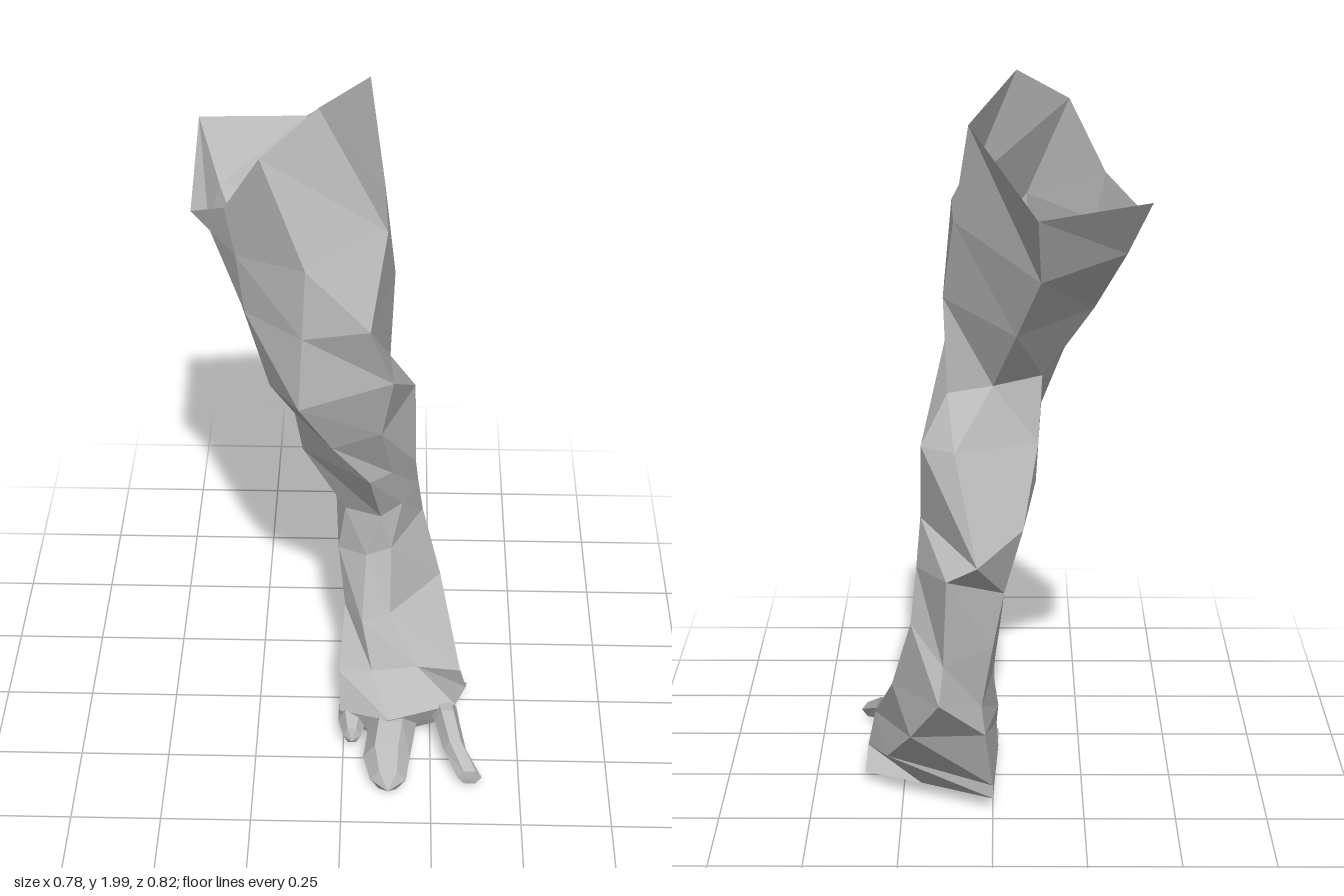
import * as THREE from 'three';

const hide = new THREE.MeshStandardMaterial({ color: 0xbababa, flatShading: true, side: THREE.DoubleSide });
hide.name = 'grey hide';

// Skin a list of equal-sized rings, with an optional cap on the last one
function loft(name, rings, capPoint) {
  const pos = [];
  const n = rings[0].length;
  for (let i = 0; i < rings.length - 1; i++) {
    for (let j = 0; j < n; j++) {
      const k = (j + 1) % n;
      const a = rings[i][j], b = rings[i][k], c = rings[i + 1][k], d = rings[i + 1][j];
      pos.push(...a, ...b, ...d, ...b, ...c, ...d);
    }
  }
  const last = rings[rings.length - 1];
  if (capPoint) last.forEach((p, j) => pos.push(...capPoint, ...p, ...last[(j + 1) % n]));
  const geo = new THREE.BufferGeometry();
  geo.setAttribute('position', new THREE.Float32BufferAttribute(pos, 3));
  geo.computeVertexNormals();
  const mesh = new THREE.Mesh(geo, hide);
  mesh.name = name;
  return mesh;
}

// Toe: six-sided sections given as [x, y, z, half width, half height]
function toe(name, sections, tip) {
  const rings = sections.map(([x, y, z, rx, ry]) =>
    Array.from({ length: 6 }, (_, j) => {
      const a = (j * Math.PI) / 3;
      return [x + rx * Math.cos(a), y + ry * Math.sin(a), z];
    }));
  return loft(name, rings, tip);
}

export function createModel() {
  const leg = new THREE.Group();
  leg.name = 'leg';

  // Ring order: front left, front, right, back right, back, back left
  const kneeRing = [[0.13, 1.26, 0.17], [-0.11, 1.25, 0.28], [-0.19, 1.23, 0.14],
    [-0.13, 1.22, -0.05], [0, 1.2, -0.08], [0.12, 1.18, -0.08]];
  const hockRing = [[0.16, 0.69, -0.07], [0.1, 0.68, -0.02], [0, 0.67, -0.07],
    [-0.03, 0.66, -0.2], [0.12, 0.75, -0.34], [0.205, 0.71, -0.14]];
  const ankleRing = [[0.13, 0.37, 0.03], [0.05, 0.35, 0.05], [0, 0.35, -0.03],
    [0.03, 0.35, -0.25], [0.14, 0.43, -0.41], [0.275, 0.37, -0.15]];

  // Thigh, open at the top with a pointed lip; one extra point on the right side
  leg.add(loft('thigh', [
    [[-0.06, 2, 0.09], [-0.2, 1.91, 0.18], [-0.295, 1.73, 0.1], [-0.39, 1.65, -0.02],
      [-0.39, 1.75, -0.34], [-0.11, 1.72, -0.41], [0.06, 1.92, -0.24]],
    [[0.11, 1.66, 0.09], [-0.09, 1.64, 0.25], [-0.27, 1.6, 0.11], [-0.345, 1.6, -0.02],
      [-0.335, 1.6, -0.25], [-0.12, 1.54, -0.31], [0.1, 1.66, -0.16]],
    [[0.07, 1.46, 0.24], [-0.1, 1.45, 0.26], [-0.25, 1.44, 0.12], [-0.28, 1.46, 0.03],
      [-0.26, 1.43, -0.14], [-0.06, 1.37, -0.2], [0.13, 1.44, -0.08]],
    [...kneeRing.slice(0, 3), [-0.16, 1.225, 0.045], ...kneeRing.slice(3)],
  ]));

  // Shin
  leg.add(loft('shin', [
    kneeRing,
    [[0.1, 1.07, 0.13], [-0.03, 1.06, 0.18], [-0.13, 1.1, 0.08],
      [-0.12, 1.04, -0.08], [0.1, 1.05, -0.19], [0.19, 1.05, -0.13]],
    [[0.13, 0.855, 0.01], [0.07, 0.88, 0.09], [-0.115, 0.91, -0.02],
      [-0.08, 0.84, -0.2], [0.04, 0.79, -0.345], [0.195, 0.83, -0.08]],
    hockRing,
  ]));

  // Lower leg with the heel spur
  leg.add(loft('lowerLeg', [
    hockRing,
    [[0.13, 0.56, -0.03], [0.06, 0.54, -0.02], [-0.02, 0.52, -0.08],
      [0, 0.52, -0.24], [0.13, 0.51, -0.34], [0.22, 0.57, -0.2]],
    ankleRing,
  ]));

  // Foot, closed underneath, with the rear corner on the right
  leg.add(loft('foot', [
    ankleRing,
    [[0.21, 0.22, 0.09], [0.08, 0.21, 0.1], [-0.015, 0.19, 0.08],
      [0.02, 0.28, -0.28], [0.22, 0.29, -0.31], [0.335, 0.18, 0.06]],
    [[0.32, 0.15, 0.17], [0.13, 0.14, 0.23], [-0.01, 0.1, 0.15],
      [0, 0.09, -0.21], [0.29, 0.165, -0.18], [0.355, 0.09, 0.03]],
    [[0.29, 0.06, 0.14], [0.1, 0.04, 0.19], [-0.015, 0.04, 0.12],
      [0, 0.05, -0.21], [0.2, 0.05, -0.12], [0.36, 0.04, -0.04]],
  ], [0.15, 0.035, 0]));

  // Toes
  leg.add(toe('middleToe', [
    [0.14, 0.08, 0.17, 0.07, 0.07], [0.135, 0.075, 0.23, 0.067, 0.07],
    [0.125, 0.065, 0.3, 0.066, 0.055], [0.13, 0.045, 0.37, 0.05, 0.04],
  ], [0.13, 0.04, 0.41]));
  leg.add(toe('outerToe', [
    [0.285, 0.11, 0.14, 0.04, 0.05], [0.297, 0.11, 0.2, 0.035, 0.05],
    [0.318, 0.08, 0.28, 0.032, 0.04], [0.36, 0.04, 0.35, 0.034, 0.027],
  ], [0.36, 0.035, 0.352]));
  leg.add(toe('innerToe', [
    [0.03, 0.075, 0.1, 0.045, 0.05], [0.025, 0.07, 0.16, 0.04, 0.045],
    [0.025, 0.06, 0.21, 0.025, 0.03],
  ], [0.025, 0.05, 0.225]));

  return leg;
}
